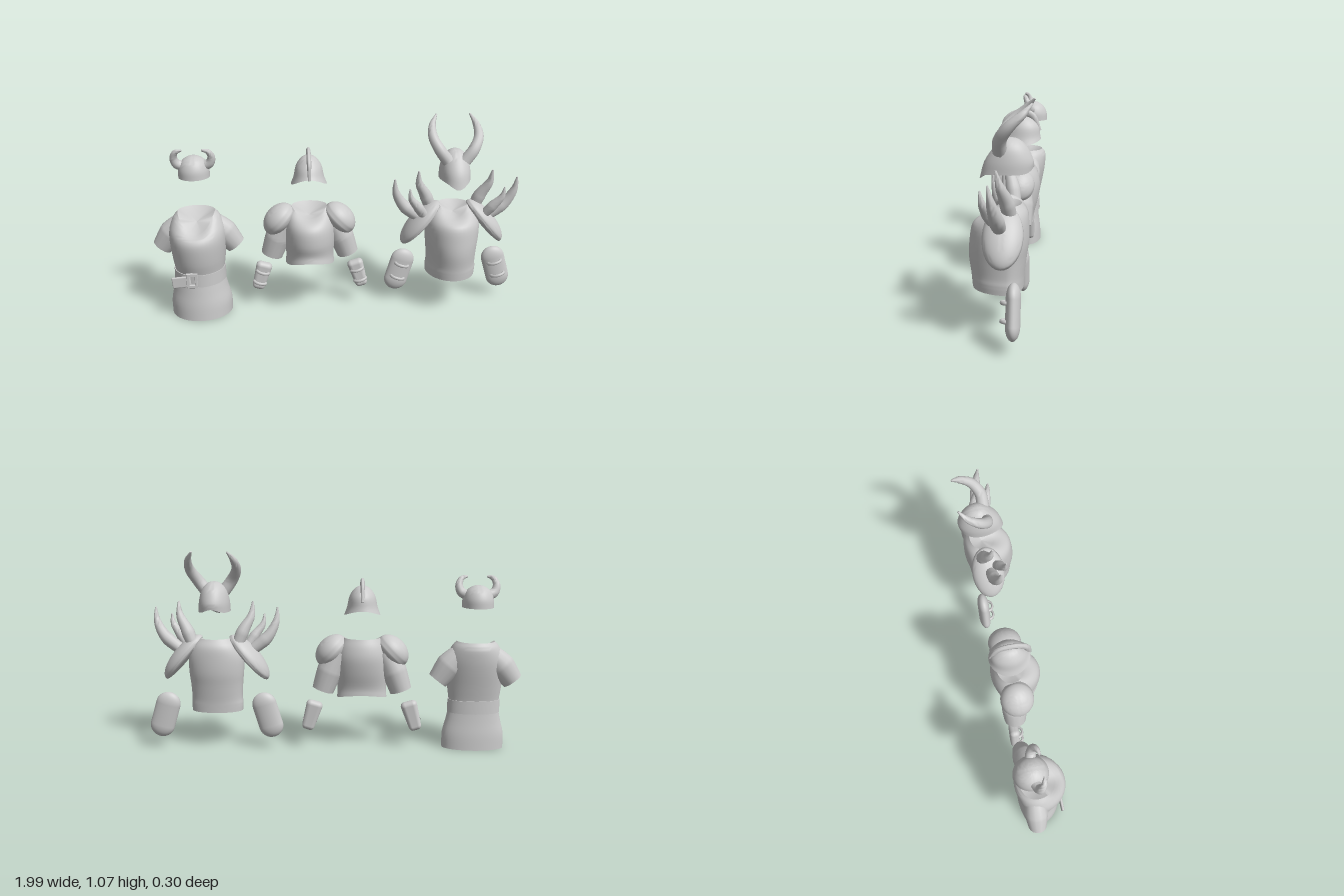
import * as THREE from 'three';
import { toCreasedNormals } from 'three/addons/utils/BufferGeometryUtils.js';
import { RoundedBoxGeometry } from 'three/addons/geometries/RoundedBoxGeometry.js';

const material = new THREE.MeshStandardMaterial({ color: 0xcccccc, roughness: 0.8, side: THREE.DoubleSide });
const V = (a) => new THREE.Vector3(...a);

function add(parent, name, geometry) {
  const mesh = new THREE.Mesh(geometry, material);
  mesh.name = name;
  parent.add(mesh);
  return mesh;
}

// Smooth body from sections [y, halfWidth, frontZ, backZ, frontDip, backDip].
// capLow / capHigh give the height of the closing surface's centre.
function loft(sections, { zc = -0.03, pow = 2, capLow, capHigh, seg = 40, steps = 4 }) {
  const curveA = new THREE.CatmullRomCurve3(sections.map((s) => V(s.slice(0, 3))), false, 'catmullrom');
  const curveB = new THREE.CatmullRomCurve3(sections.map((s) => V([s[3], s[4] || 0, s[5] || 0])), false, 'catmullrom');
  const count = (sections.length - 1) * steps;
  const rings = [];
  for (let i = 0; i <= count; i++) {
    const a = curveA.getPoint(i / count), b = curveB.getPoint(i / count), ring = [];
    const mid = THREE.MathUtils.clamp(zc, b.x, a.z);
    for (let j = 0; j < seg; j++) {
      const t = (j / seg) * Math.PI * 2, s = Math.sin(t);
      const dip = (s > 0 ? b.y : b.z) * Math.pow(Math.abs(s), pow);
      ring.push([a.y * Math.cos(t), a.x - dip, mid + s * (s > 0 ? a.z - mid : mid - b.x)]);
    }
    rings.push(ring);
  }
  const centre = (s, y) => Array.from({ length: seg }, () => [0, y, (s[2] + s[3]) / 2]);
  if (capLow !== undefined) rings.unshift(centre(sections[0], capLow));
  if (capHigh !== undefined) rings.push(centre(sections.at(-1), capHigh));
  const index = [];
  for (let i = 0; i < rings.length - 1; i++) {
    for (let j = 0; j < seg; j++) {
      const a = i * seg + j, b = i * seg + ((j + 1) % seg), c = a + seg, d = b + seg;
      index.push(a, c, b, b, c, d);
    }
  }
  const geometry = new THREE.BufferGeometry();
  geometry.setAttribute('position', new THREE.Float32BufferAttribute(rings.flat(2), 3));
  geometry.setIndex(index);
  return toCreasedNormals(geometry, 0.9);
}

// Tube with changing radius, closed at its far end; s mirrors it in x.
function taper(s, points, radii, flatten = 1) {
  const curve = new THREE.CatmullRomCurve3(points.map(([x, y, z]) => V([s * x, y, z])));
  const n = 24, sides = 14;
  const geometry = new THREE.TubeGeometry(curve, n, 1, sides);
  const pos = geometry.attributes.position, v = new THREE.Vector3();
  for (let i = 0; i <= n; i++) {
    const centre = curve.getPointAt(i / n), end = curve.getPointAt(Math.min(i, n - 1) / n);
    const f = (i / n) * (radii.length - 1), k = Math.min(Math.floor(f), radii.length - 2);
    const r = i === n ? 0 : THREE.MathUtils.lerp(radii[k], radii[k + 1], f - k);
    for (let j = 0; j <= sides; j++) {
      const id = i * (sides + 1) + j;
      v.fromBufferAttribute(pos, id).sub(centre).multiplyScalar(r);
      v.z *= flatten;
      v.add(end);
      pos.setXYZ(id, v.x, v.y, v.z);
    }
  }
  return toCreasedNormals(geometry, 0.9);
}

// Domed shoulder plate: full bulge outside, shallow underside
function pad(parent, s, [x, y, z], [long, out, deep], under, angle) {
  const geometry = new THREE.SphereGeometry(1, 32, 24);
  const pos = geometry.attributes.position;
  for (let i = 0; i < pos.count; i++) if (pos.getY(i) < 0) pos.setY(i, pos.getY(i) * under);
  geometry.scale(long, out, deep);
  const mesh = add(parent, 'shoulderPad', toCreasedNormals(geometry, 0.9));
  mesh.position.set(s * x, y, z);
  mesh.rotation.z = -s * angle;
}

// Forearm plate with two straps on its front
function bracer(parent, s, plate, [x, y, z], strapRadius, strapY, depth) {
  const g = new THREE.Group();
  g.name = 'bracer';
  add(g, 'forearmPlate', plate);
  for (const h of strapY) {
    const strap = add(g, 'strap', new THREE.TorusGeometry(strapRadius, 0.009, 8, 16, Math.PI));
    strap.rotation.x = Math.PI / 2;
    strap.scale.y = 0.75;
    strap.position.set(0, h, depth);
  }
  g.position.set(s * x, y, z);
  g.rotation.z = s * 0.29;
  parent.add(g);
}

function set(root, name, x) {
  const g = new THREE.Group();
  g.name = name;
  g.position.x = x;
  root.add(g);
  return g;
}

function tunicSet(root) {
  const g = set(root, 'tunicSet', -0.755);
  add(g, 'tunic', loft([
    [0, 0.166, 0.125, -0.105], [0.08, 0.165, 0.12, -0.1], [0.16, 0.146, 0.11, -0.09],
    [0.24, 0.133, 0.105, -0.085], [0.33, 0.143, 0.128, -0.1], [0.43, 0.153, 0.14, -0.12],
    [0.5, 0.15, 0.127, -0.13, 0.03], [0.56, 0.125, 0.105, -0.13, 0.08], [0.59, 0.1, 0.08, -0.11, 0.1],
  ], { capLow: 0.1, capHigh: 0.53 }));
  // Belt, hanging end and buckle
  add(g, 'belt', loft([[0.2, 0.141, 0.117, -0.098], [0.27, 0.139, 0.118, -0.096]], { capLow: 0.21, capHigh: 0.26 }));
  const tail = add(g, 'beltEnd', new RoundedBoxGeometry(0.1, 0.062, 0.014, 2, 0.006));
  tail.position.set(-0.088, 0.233, 0.111);
  tail.rotation.z = 0.08;
  const frame = new THREE.Shape([[-0.028, -0.04], [0.028, -0.04], [0.028, 0.04], [-0.028, 0.04]].map((p) => new THREE.Vector2(...p)));
  frame.holes.push(new THREE.Path([[-0.016, -0.027], [-0.016, 0.027], [0.016, 0.027], [0.016, -0.027]].map((p) => new THREE.Vector2(...p))));
  const buckle = add(g, 'buckle', new THREE.ExtrudeGeometry(frame, { depth: 0.012, bevelSize: 0.002, bevelThickness: 0.002, bevelSegments: 1 }));
  buckle.position.set(-0.03, 0.243, 0.112);
  add(g, 'helmet', loft([
    [0.775, 0.083, 0.035, -0.14], [0.82, 0.08, 0.032, -0.136], [0.86, 0.063, 0.013, -0.115],
    [0.884, 0.03, -0.02, -0.08], [0.89, 0, -0.05, -0.05],
  ], { zc: -0.05, capLow: 0.775 }));
  for (const s of [-1, 1]) {
    add(g, 'sleeve', taper(s, [[0.06, 0.525, -0.04], [0.13, 0.465, -0.045], [0.205, 0.37, -0.05]], [0.062, 0.073, 0.054], 0.85));
    add(g, 'helmetHorn', taper(s, [[0.05, 0.835, -0.045], [0.085, 0.85, -0.035], [0.098, 0.885, -0.025],
      [0.083, 0.92, -0.01], [0.045, 0.932, 0]], [0.028, 0.025, 0.02, 0.014, 0.004]));
  }
}

function lightSet(root) {
  const g = set(root, 'lightArmourSet', -0.15);
  add(g, 'cuirass', loft([
    [0.28, 0.134, 0.132, -0.1, -0.045, -0.02], [0.33, 0.13, 0.126, -0.1, -0.03, -0.01], [0.42, 0.137, 0.14, -0.12],
    [0.5, 0.135, 0.135, -0.13], [0.56, 0.12, 0.1, -0.12, 0.02], [0.605, 0.095, 0.045, -0.1, 0.05],
  ], { capLow: 0.33, capHigh: 0.55 }));
  add(g, 'helmet', loft([
    [0.73, 0.096, 0.08, -0.135, -0.05, -0.03], [0.77, 0.081, 0.07, -0.13, -0.025, -0.01], [0.83, 0.067, 0.05, -0.12],
    [0.872, 0.036, 0.015, -0.08], [0.885, 0, -0.03, -0.03],
  ], { capLow: 0.82 }));
  const crest = add(g, 'helmetCrest', taper(1, [[0, 0.775, 0.075], [0, 0.86, 0.055], [0, 0.9, -0.01],
    [0, 0.89, -0.08], [0, 0.79, -0.13]], [0.012, 0.02, 0.02, 0.018, 0.012]));
  crest.scale.x = 0.6;
  for (const s of [-1, 1]) {
    add(g, 'sleeve', taper(s, [[0.12, 0.53, -0.03], [0.17, 0.43, -0.035], [0.213, 0.31, -0.04]], [0.06, 0.07, 0.059]));
    pad(g, s, [0.162, 0.53, -0.02], [0.1, 0.075, 0.09], 0.75, 0.8);
    const plate = new RoundedBoxGeometry(0.085, 0.165, 0.055, 5, 0.024);
    const pos = plate.attributes.position;
    for (let i = 0; i < pos.count; i++) pos.setX(i, pos.getX(i) * (0.93 + 2 * pos.getY(i)));
    bracer(g, s, plate, [0.272, 0.18, -0.055], 0.032, [0.03, -0.035], 0.02);
  }
}

function heavySet(root) {
  const g = set(root, 'heavyArmourSet', 0.635);
  add(g, 'cuirass', loft([
    [0.2, 0.137, 0.138, -0.1], [0.24, 0.139, 0.142, -0.102], [0.275, 0.136, 0.145, -0.105], [0.35, 0.14, 0.155, -0.115],
    [0.42, 0.147, 0.152, -0.125], [0.5, 0.146, 0.138, -0.125], [0.56, 0.12, 0.1, -0.117, 0.03], [0.6, 0.08, 0.045, -0.09, 0.06],
  ], { capLow: 0.21, capHigh: 0.55 }));
  add(g, 'helmet', loft([
    [0.745, 0.083, 0.102, -0.142, 0.032, -0.022], [0.8, 0.08, 0.08, -0.143, 0.008], [0.86, 0.064, 0.035, -0.115],
    [0.895, 0.033, 0, -0.075], [0.905, 0, -0.03, -0.03],
  ], { pow: 6, capLow: 0.78 }));
  // Shoulder spikes: path and base thickness
  const spikes = [
    [[0.18, 0.52, -0.01], [0.28, 0.605, 0], [0.322, 0.685, 0.015], [0.33, 0.77, 0.03]],
    [[0.16, 0.54, 0.02], [0.205, 0.605, 0.045], [0.245, 0.66, 0.062], [0.255, 0.725, 0.07]],
    [[0.11, 0.54, -0.05], [0.15, 0.64, -0.035], [0.192, 0.72, -0.01], [0.2, 0.805, 0.01]],
  ];
  for (const s of [-1, 1]) {
    pad(g, s, [0.175, 0.49, -0.02], [0.155, 0.06, 0.092], 0.4, 0.87);
    spikes.forEach((path, i) => {
      const k = i === 1 ? 0.8 : 1;
      add(g, 'shoulderSpike', taper(s, path, [0.03, 0.035, 0.022, 0.002].map((r) => r * k)));
    });
    add(g, 'helmetHorn', taper(s, [[0.045, 0.845, 0.005], [0.09, 0.905, 0], [0.122, 0.965, -0.04],
      [0.118, 1.02, -0.1], [0.085, 1.075, -0.15]], [0.034, 0.031, 0.026, 0.018, 0.002]));
    const plate = new THREE.CapsuleGeometry(0.066, 0.122, 10, 28);
    plate.scale(1, 1, 0.5);
    bracer(g, s, plate, [0.278, 0.185, -0.075], 0.036, [0.04, -0.04], 0.025);
  }
}

export function createModel() {
  const root = new THREE.Group();
  root.name = 'armourSets';
  tunicSet(root);
  lightSet(root);
  heavySet(root);
  return root;
}
